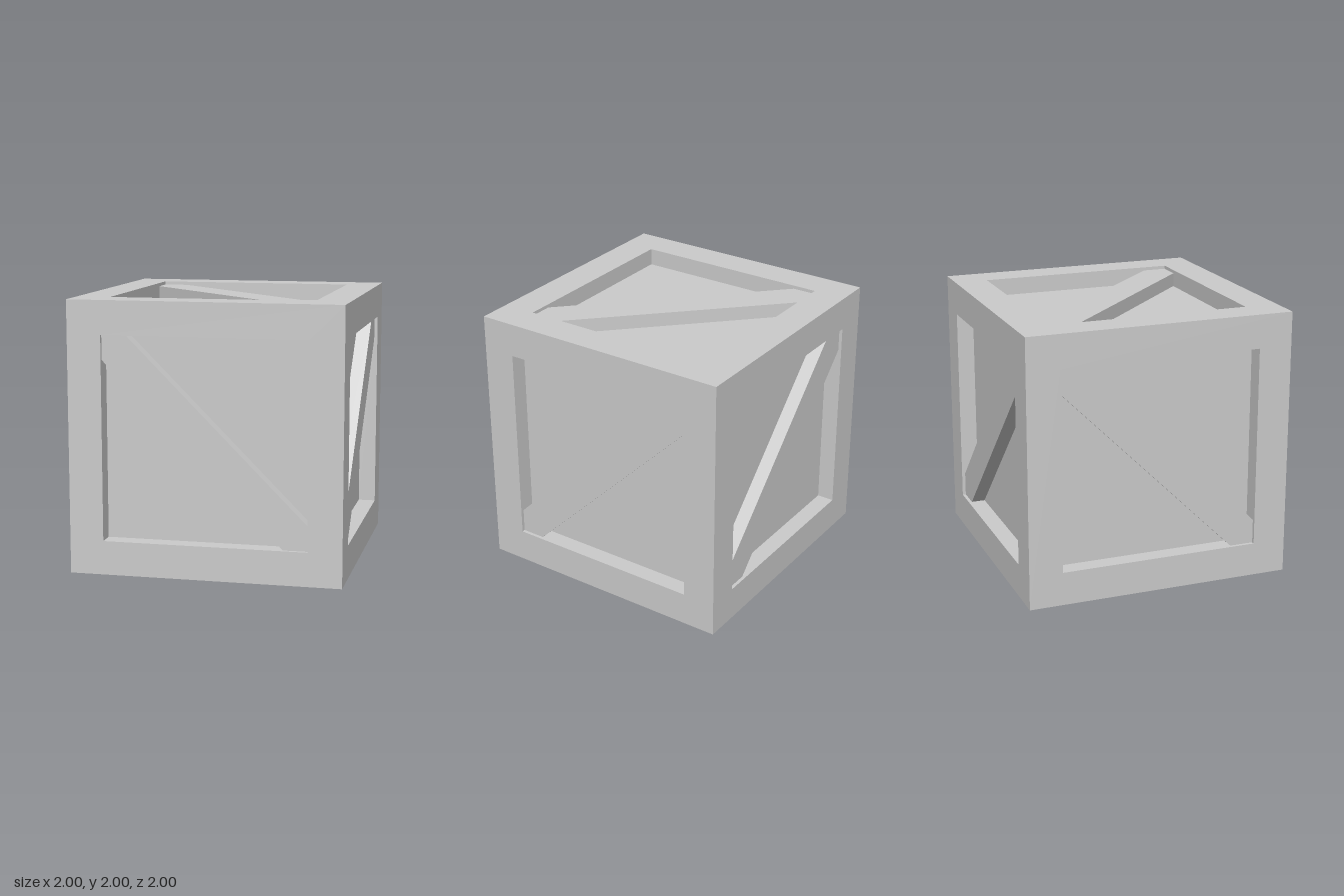
import * as THREE from 'three';

const INNER = 0.75;   // half width of each framed opening
const RECESS = 0.13;  // depth of the panels behind the frame
const BRACE = 0.105;  // thickness of the diagonal boards
const CUT = 0.18;     // half width of a board, measured along the frame

const polygon = (points) => points.map(([x, y]) => new THREE.Vector2(x, y));
const square = (r) => polygon([[-r, -r], [r, -r], [r, r], [-r, r]]);

// Square frame whose outer sides are mitred to meet the neighbouring frames
function frameGeometry() {
  const shape = new THREE.Shape(square(1));
  shape.holes.push(new THREE.Path(square(INNER).reverse()));
  const geometry = new THREE.ExtrudeGeometry(shape, { depth: RECESS, bevelEnabled: false });
  const p = geometry.attributes.position;
  for (let i = 0; i < p.count; i++) {
    if (p.getZ(i) < RECESS / 2 && Math.max(Math.abs(p.getX(i)), Math.abs(p.getY(i))) > 0.9) {
      p.setXY(i, p.getX(i) * (1 - RECESS), p.getY(i) * (1 - RECESS));
    }
  }
  geometry.computeVertexNormals();
  return geometry.translate(0, 0, 1 - RECESS);
}

// Diagonal board running corner to corner, trimmed to the opening
function braceGeometry() {
  const a = INNER, b = INNER - CUT;
  const shape = new THREE.Shape(polygon([[-a, a], [-a, b], [b, -a], [a, -a], [a, -b], [-b, a]]));
  return new THREE.ExtrudeGeometry(shape, { depth: BRACE, bevelEnabled: false })
    .translate(0, 0, 1 - RECESS);
}

export function createModel() {
  const crate = new THREE.Group();
  crate.name = 'crate';
  const material = new THREE.MeshStandardMaterial({ color: 0xcccccc, flatShading: true });
  const add = (parent, name, geometry) => {
    const mesh = new THREE.Mesh(geometry, material);
    mesh.name = name;
    parent.add(mesh);
    return mesh;
  };

  // Inner box forms the six recessed panels
  const size = 2 * (1 - RECESS);
  add(crate, 'panels', new THREE.BoxGeometry(size, size, size)).position.y = 1;

  // Six sides: name, rotation about x and y, whether the brace leans the other way
  const q = Math.PI / 2;
  const sides = [
    ['front', 0, 0, false], ['back', 0, 2 * q, true],
    ['left', 0, q, true], ['right', 0, -q, false],
    ['top', -q, 0, false], ['bottom', q, 0, true],
  ];
  const frame = frameGeometry();
  const brace = braceGeometry();
  for (const [name, rx, ry, flipped] of sides) {
    const side = new THREE.Group();
    side.name = `${name}Side`;
    side.position.y = 1;
    side.rotation.set(rx, ry, 0);
    add(side, `${name}Frame`, frame);
    add(side, `${name}Brace`, brace).rotation.z = flipped ? q : 0;
    crate.add(side);
  }
  return crate;
}
